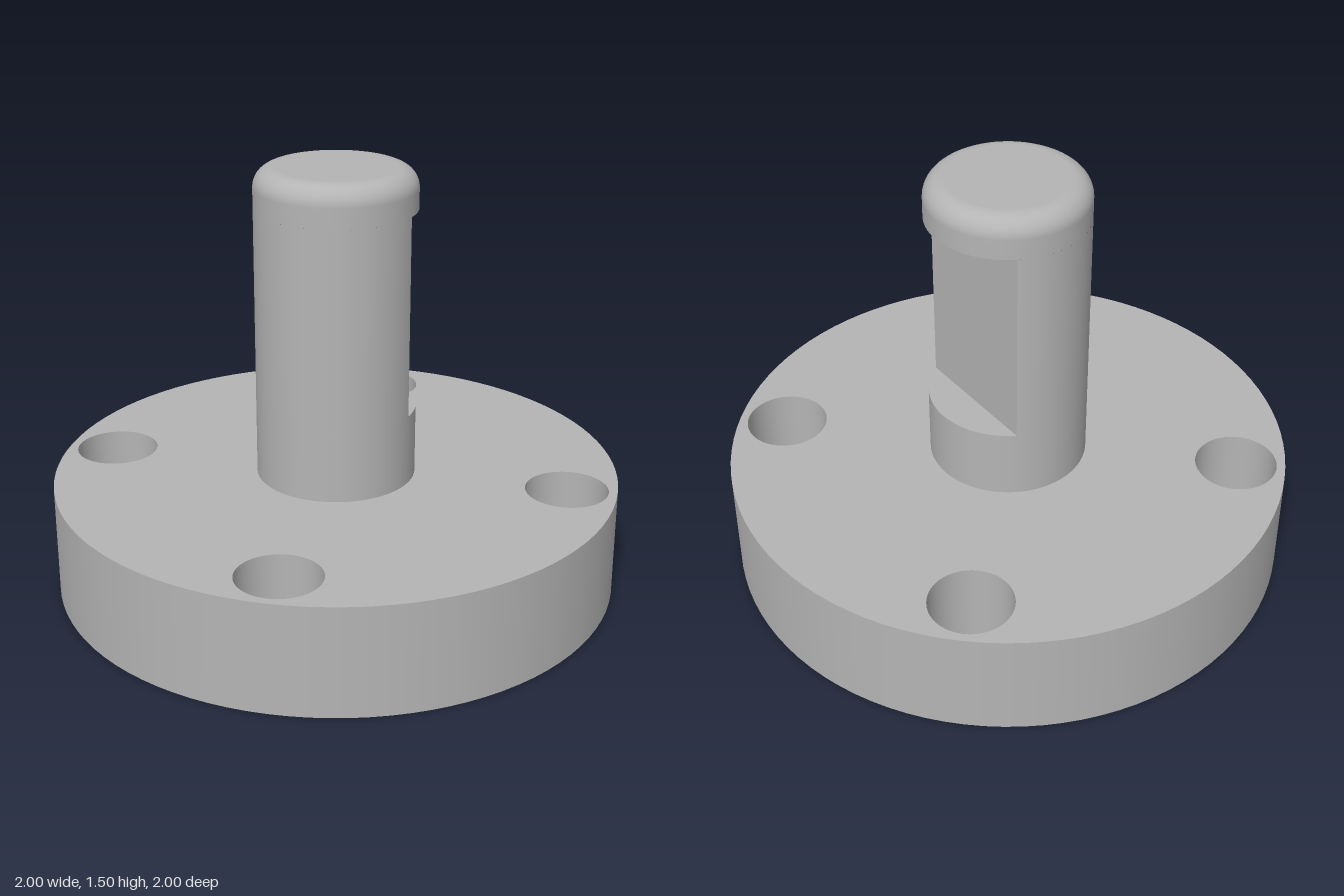
import * as THREE from 'three';

const SEG = 96;
const BASE_R = 1, BASE_H = 0.393;
const HOLE_R = 0.145, HOLE_POS = 0.583;
const SHAFT_R = 0.281, TOP = 1.503, FILLET = 0.07;
const FLAT_X = 0.143, FLAT_LOW = 0.647, FLAT_HIGH = 1.361;
const RECESS_R = 0.281 * 1.25, RECESS_H = 0.14;

export function createModel() {
  const metal = new THREE.MeshStandardMaterial({ color: 0xb4b4b4 });
  metal.name = 'plain grey metal';
  const model = new THREE.Group();
  model.name = 'flangedPin';

  const add = (parent, name, geometry, x = 0, y = 0, z = 0) => {
    const mesh = new THREE.Mesh(geometry, metal);
    mesh.name = name;
    mesh.position.set(x, y, z);
    parent.add(mesh);
    return mesh;
  };
  const group = (name) => {
    const g = new THREE.Group();
    g.name = name;
    model.add(g);
    return g;
  };
  // Cylindrical wall: rising faces outward, falling faces inward
  const wall = (r, from, to) =>
    new THREE.LatheGeometry([new THREE.Vector2(r, from), new THREE.Vector2(r, to)], SEG);
  // Flat horizontal face from a shape, facing up or down
  const face = (shape, up) =>
    new THREE.ShapeGeometry(shape, SEG / 2).rotateX(up ? -Math.PI / 2 : Math.PI / 2);
  const circle = (r, x = 0, y = 0) => new THREE.Shape().absarc(x, y, r, 0, Math.PI * 2, false);

  const corners = [[1, 1], [1, -1], [-1, -1], [-1, 1]].map((c) => c.map((v) => v * HOLE_POS));
  const flangeFace = (centreR) => {
    const shape = circle(BASE_R);
    shape.holes.push(circle(centreR));
    corners.forEach(([x, z]) => shape.holes.push(circle(HOLE_R, x, z)));
    return shape;
  };

  // Flange with four through holes and a shallow recess underneath
  const flange = group('flange');
  add(flange, 'flangeRim', wall(BASE_R, 0, BASE_H));
  add(flange, 'flangeTop', face(flangeFace(SHAFT_R), true), 0, BASE_H);
  add(flange, 'flangeBottom', face(flangeFace(RECESS_R), false));
  add(flange, 'recessWall', wall(RECESS_R, RECESS_H, 0));
  add(flange, 'recessCeiling', face(circle(RECESS_R), false), 0, RECESS_H);
  corners.forEach(([x, z]) => add(flange, 'boltHole', wall(HOLE_R, BASE_H, 0), x, 0, z));

  // Shaft: full round foot, notched middle, rounded head
  const shaft = group('shaft');
  const halfAngle = Math.acos(FLAT_X / SHAFT_R);
  const notchH = FLAT_HIGH - FLAT_LOW, midY = (FLAT_HIGH + FLAT_LOW) / 2;
  add(shaft, 'shaftFoot', wall(SHAFT_R, BASE_H, FLAT_LOW));
  add(shaft, 'shaftMiddle', new THREE.CylinderGeometry(SHAFT_R, SHAFT_R, notchH, SEG, 1, true,
    Math.PI / 2 + halfAngle, Math.PI * 2 - halfAngle * 2), 0, midY);

  const head = [new THREE.Vector2(SHAFT_R, FLAT_HIGH)];
  for (let i = 0; i <= 10; i++) {
    const a = (i / 10) * Math.PI / 2;
    head.push(new THREE.Vector2(SHAFT_R - FILLET + FILLET * Math.cos(a), TOP - FILLET + FILLET * Math.sin(a)));
  }
  add(shaft, 'shaftHead', new THREE.LatheGeometry(head, SEG));
  add(shaft, 'shaftTop', face(circle(SHAFT_R - FILLET), true), 0, TOP);

  // Notch on the +x side: vertical flat and its two ledges
  const chord = 2 * SHAFT_R * Math.sin(halfAngle);
  add(shaft, 'notchFlat', new THREE.PlaneGeometry(chord, notchH).rotateY(Math.PI / 2), FLAT_X, midY);
  const ledge = new THREE.Shape().absarc(0, 0, SHAFT_R, -halfAngle, halfAngle, false);
  add(shaft, 'notchLowerLedge', face(ledge, true), 0, FLAT_LOW);
  add(shaft, 'notchUpperLedge', face(ledge, false), 0, FLAT_HIGH);

  return model;
}
